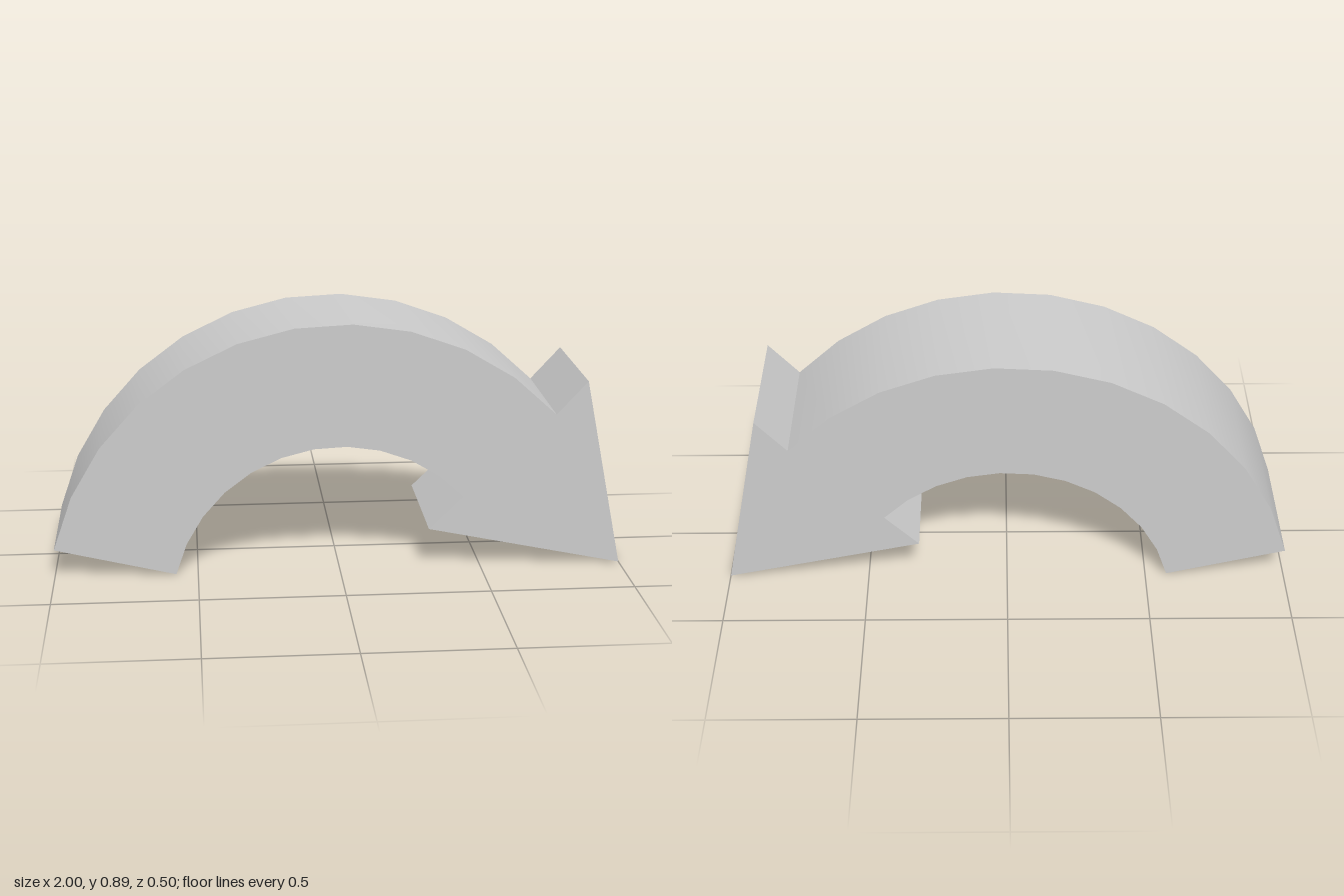
import * as THREE from 'three';
import { toCreasedNormals } from 'three/addons/utils/BufferGeometryUtils.js';

const DEPTH = 0.5;
const CENTER = new THREE.Vector2(-0.002, -0.137);
const START = THREE.MathUtils.degToRad(166.5);
const END = THREE.MathUtils.degToRad(42.2);
const SEGMENTS = 11;

// Points along an arc of the curved band, from tail to head
function arcPoints(radius) {
  const points = [];
  for (let i = 0; i <= SEGMENTS; i++) {
    const a = THREE.MathUtils.lerp(START, END, i / SEGMENTS);
    points.push(new THREE.Vector2(
      CENTER.x + radius * Math.cos(a),
      CENTER.y + radius * Math.sin(a)
    ));
  }
  return points;
}

export function createModel() {
  const group = new THREE.Group();
  group.name = 'curvedArrow';

  // Outline: outer arc, triangular head, inner arc back to the tail
  const head = [[0.867, 0.67], [1, 0], [0.315, 0.143]].map(([x, y]) => new THREE.Vector2(x, y));
  const outline = new THREE.Shape([...arcPoints(1.026), ...head, ...arcPoints(0.591).reverse()]);

  const extruded = new THREE.ExtrudeGeometry(outline, { depth: DEPTH, bevelEnabled: false });
  extruded.translate(0, 0, -DEPTH / 2);

  // Smooth along the arcs, sharp at the corners
  const arrow = new THREE.Mesh(
    toCreasedNormals(extruded, 0.4),
    new THREE.MeshStandardMaterial({ color: 0xcccccc })
  );
  arrow.name = 'arrowBody';
  group.add(arrow);
  return group;
}
